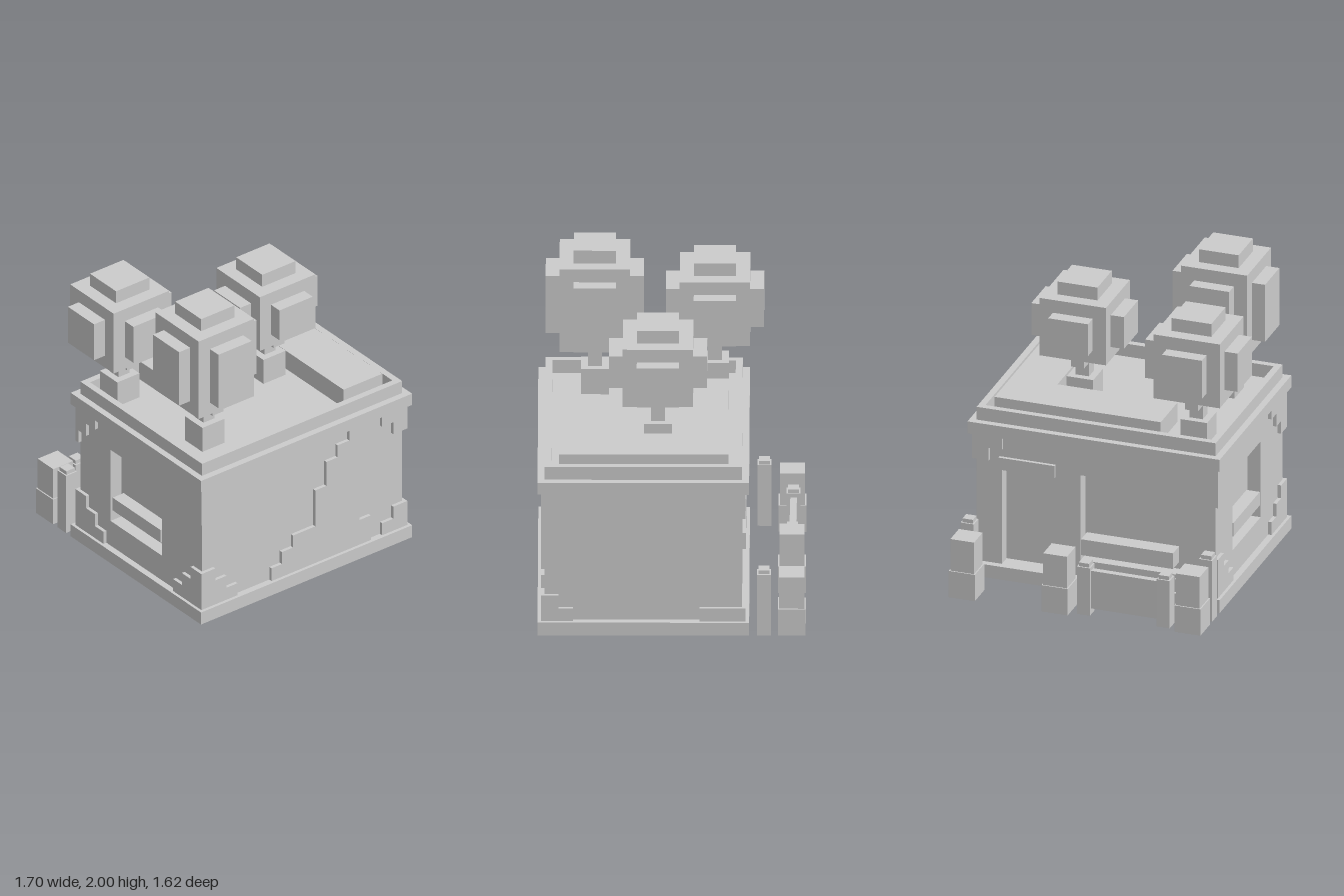
import * as THREE from 'three';

const material = new THREE.MeshStandardMaterial({
  color: 0xcccccc, flatShading: true, side: THREE.DoubleSide,
});

// Box given by its limits on each axis; one standing on the ground has no underside
function box(parent, name, x0, x1, y0, y1, z0, z1) {
  const geometry = new THREE.BoxGeometry(x1 - x0, y1 - y0, z1 - z0);
  if (y0 === 0) {
    const index = Array.from(geometry.index.array);
    index.splice(18, 6);
    geometry.setIndex(index);
    geometry.clearGroups();
  }
  const mesh = new THREE.Mesh(geometry, material);
  mesh.position.set((x0 + x1) / 2, (y0 + y1) / 2, (z0 + z1) / 2);
  mesh.name = name;
  parent.add(mesh);
  return mesh;
}

// Box centred on (x, z)
function column(parent, name, x, z, wx, wz, y0, y1) {
  return box(parent, name, x - wx / 2, x + wx / 2, y0, y1, z - wz / 2, z + wz / 2);
}

function shapeOf(points) {
  return new THREE.Shape(points.map(([x, y]) => new THREE.Vector2(x, y)));
}

function rectangle(x0, x1, y0, y1) {
  return [[x0, y0], [x1, y0], [x1, y1], [x0, y1]];
}

function extrude(parent, name, points, depth, holes = []) {
  const shape = shapeOf(points);
  holes.forEach((h) => shape.holes.push(shapeOf(h)));
  const mesh = new THREE.Mesh(
    new THREE.ExtrudeGeometry(shape, { depth, bevelEnabled: false }), material);
  mesh.name = name;
  parent.add(mesh);
  return mesh;
}

// Body limits
const X0 = -0.725, X1 = 0.807, Z0 = -0.425, Z1 = 0.765, Y0 = 0.085, Y1 = 0.94;
const STEP = 0.085, RAISE = 0.022;

// Stepped corner patch on one wall; widths run from the wall's end inward
function cornerTrim(parent, face, atMax, top, widths) {
  const alongX = face === 'front' || face === 'back';
  const [lo, hi] = alongX ? [X0, X1] : [Z0, Z1];
  widths.forEach((w, i) => {
    const a = atMax ? hi - w : lo - RAISE;
    const b = atMax ? hi + RAISE : lo + w;
    const y0 = top ? Y1 - (i + 1) * STEP : Y0 + i * STEP;
    const y1 = y0 + STEP;
    if (face === 'front') box(parent, 'cornerTrim', a, b, y0, y1, Z1 - 0.01, Z1 + RAISE);
    if (face === 'back') box(parent, 'cornerTrim', a, b, y0, y1, Z0 - RAISE, Z0 + 0.01);
    if (face === 'right') box(parent, 'cornerTrim', X1 - 0.01, X1 + RAISE, y0, y1, a, b);
    if (face === 'left') box(parent, 'cornerTrim', X0 - RAISE, X0 + 0.01, y0, y1, a, b);
  });
}

// Potted tree: pot, trunk, cross of branches, block crown with a bump on each side
function tree(x, z, crownTop) {
  const g = new THREE.Group();
  g.name = 'pottedTree';
  column(g, 'pot', x, z, 0.17, 0.17, 1.02, 1.19);
  column(g, 'trunk', x, z, 0.085, 0.085, 1.19, 1.365);
  column(g, 'branch', x, z, 0.255, 0.085, 1.28, 1.365);
  column(g, 'branch', x, z, 0.085, 0.255, 1.28, 1.365);
  column(g, 'crown', x, z, 0.425, 0.425, 1.365, crownTop);
  column(g, 'crownTop', x, z, 0.255, 0.255, crownTop, crownTop + STEP);
  column(g, 'crownSides', x, z, 0.593, 0.255, 1.45, crownTop - STEP);
  column(g, 'crownSides', x, z, 0.255, 0.593, 1.45, crownTop - STEP);
  return g;
}

export function createModel() {
  const model = new THREE.Group();
  model.name = 'building';

  // Base, open underneath, then solid core and roof slab
  box(model, 'base', -0.766, 0.85, 0, Y0, -0.468, 0.808);
  box(model, 'core', X0 + STEP, X1, Y0, Y1, Z0 + STEP, Z1);
  box(model, 'roofSlab', -0.766, 0.85, Y1, 1.02, -0.468, 0.808);

  // Back wall with a doorway notch and a window opening
  const back = extrude(model, 'backWall', [
    [X0, Y0], [0.3, Y0], [0.3, 0.765], [0.645, 0.765], [0.645, Y0],
    [X1, Y0], [X1, Y1], [X0, Y1],
  ], STEP, [rectangle(-0.55, 0.14, 0.19, 0.755)]);
  back.position.z = Z0;
  box(model, 'doorLintel', 0.3, 0.66, 0.72, 0.8, Z0 - RAISE, Z0 + STEP);
  box(model, 'backSill', -0.46, 0.13, 0.235, 0.34, Z0 - RAISE, Z0 + STEP);

  // Left-hand wall with window opening
  const side = extrude(model, 'sideWall', rectangle(-Z1, -Z0 - STEP, Y0, Y1), STEP, [
    rectangle(-0.375, 0.13, 0.26, 0.765),
  ]);
  side.rotation.y = Math.PI / 2;
  side.position.x = X0;
  box(model, 'sideSill', X0, X0 + STEP, 0.345, 0.435, -0.11, 0.36);

  // Parapet ring
  const parapet = extrude(model, 'parapet', rectangle(X0, X1, -Z1, -Z0), STEP,
    [rectangle(X0 + 0.042, X1 - 0.042, -Z1 + 0.042, -Z0 - 0.042)]);
  parapet.rotation.x = -Math.PI / 2;
  parapet.position.y = 1.02;

  // L-shaped raised roof deck
  const deck = extrude(model, 'roofDeck', [
    [0.425, -0.68], [0.722, -0.68], [0.722, 0.342],
    [-0.343, 0.342], [-0.343, 0.045], [0.425, 0.045],
  ], 0.128);
  deck.rotation.x = -Math.PI / 2;
  deck.position.y = 1.02;

  // Raised stepped band across the front wall
  const band = extrude(model, 'frontBand', [
    [-0.21, Y0], [0.55, Y0], [0.55, 0.26], [0.465, 0.26], [0.465, 0.6], [0.55, 0.6],
    [0.55, Y1], [0.385, Y1], [0.385, 0.855], [0.295, 0.855], [0.295, 0.77], [0.21, 0.77],
    [0.21, 0.6], [0.125, 0.6], [0.125, 0.345], [-0.045, 0.345], [-0.045, 0.26],
    [-0.13, 0.26], [-0.13, 0.175], [-0.21, 0.175],
  ], RAISE);
  band.position.z = Z1;

  // Stepped corner patches: face, at the positive end, at the top, step widths
  const three = [0.255, 0.17, 0.085], two = [0.17, 0.085];
  [
    ['front', false, true, three], ['front', false, false, three],
    ['front', true, true, two], ['front', true, false, two],
    ['right', true, true, two], ['right', true, false, two],
    ['right', false, true, [0.17]], ['right', false, false, [0.255]],
    ['left', true, true, three], ['left', true, false, three],
    ['left', false, true, two], ['left', false, false, three],
    ['back', false, true, three], ['back', false, false, three],
    ['back', true, true, two],
  ].forEach((t) => cornerTrim(model, ...t));

  // Roof trees
  model.add(tree(-0.555, -0.258, 1.79), tree(-0.47, 0.466, 1.915), tree(0.297, 0.083, 1.747));

  // Bollards behind the building
  for (const x of [-0.682, 0.169, 0.764]) {
    column(model, 'bollardBase', x, -0.725, 0.168, 0.168, 0, 0.175);
    column(model, 'bollardTop', x, -0.725, 0.152, 0.152, 0.175, 0.385);
  }

  // Capped posts: a tall one at each back corner, a short pair holding the panel
  for (const [x, z, h] of [
    [-0.514, -0.732, 0.315], [-0.001, -0.727, 0.315], [-0.723, -0.557, 0.405], [0.805, -0.557, 0.405],
  ]) {
    column(model, 'post', x, z, 0.084, 0.084, 0, h);
    column(model, 'postCap', x, z, 0.066, 0.066, h, h + 0.025);
  }
  const panel = column(model, 'fencePanel', -0.258, -0.73, 0.45, 0.04, 0.04, 0.29);
  panel.rotation.y = -0.01;

  return model;
}
